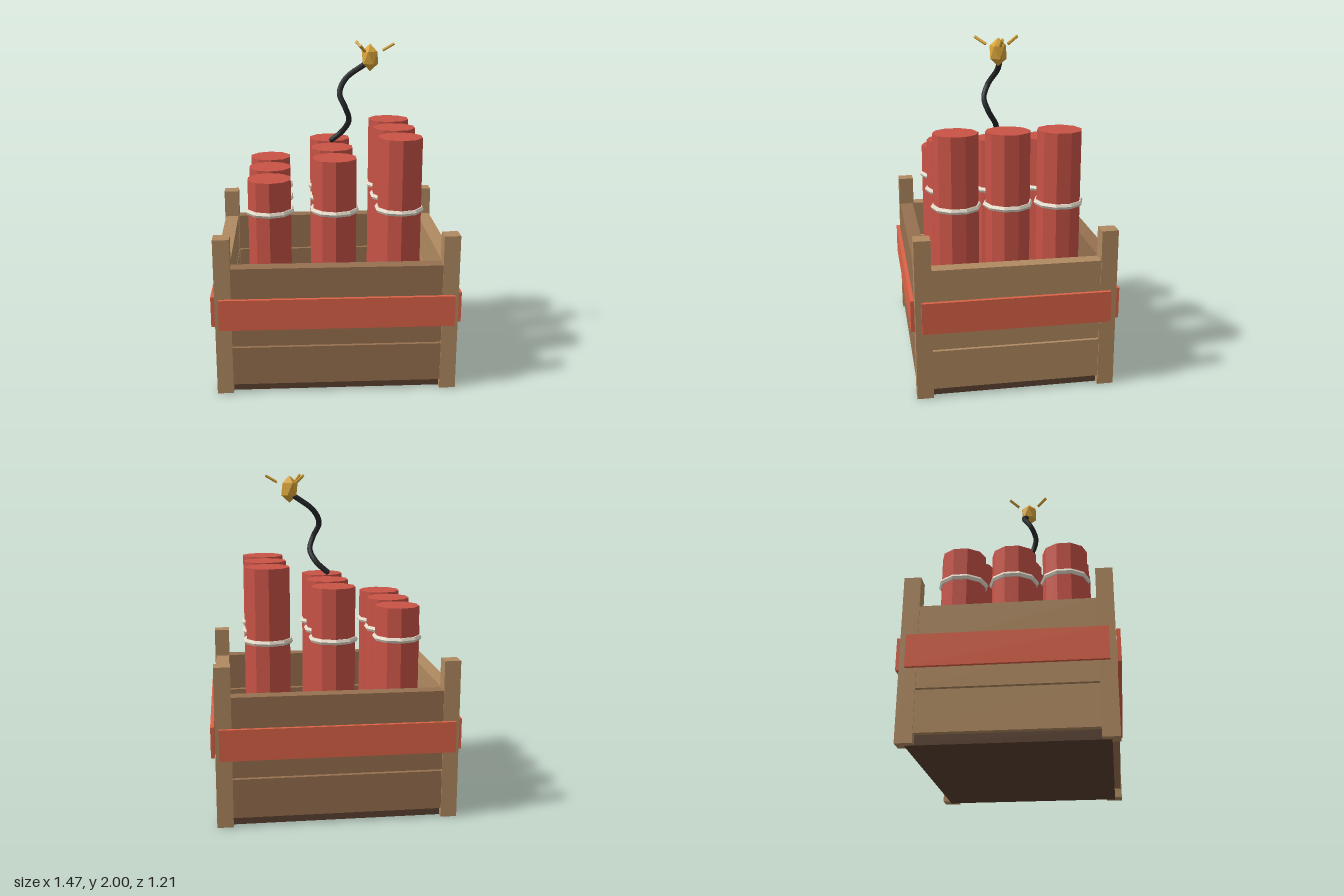
import * as THREE from 'three';

const material = (color) => new THREE.MeshStandardMaterial({ color, flatShading: true });

export function createModel() {
  const model = new THREE.Group();
  const lightWood = material(0xb08a60);
  const midWood = material(0x96704f);
  const darkWood = material(0x5a4030);
  const red = material(0xc95346);
  const paint = material(0xdc6347);
  const cord = material(0xe6dccb);
  const black = new THREE.MeshStandardMaterial({ color: 0x232527 });
  const gold = material(0xdaa53a);

  const add = (name, geometry, mat, x, y, z) => {
    const mesh = new THREE.Mesh(geometry, mat);
    mesh.name = name;
    mesh.position.set(x, y, z);
    model.add(mesh);
    return mesh;
  };
  const box = (name, mat, w, h, d, x, y, z) =>
    add(name, new THREE.BoxGeometry(w, h, d), mat, x, y, z);

  // Crate floor
  box('crateFloor', darkWood, 1.33, 0.055, 1.07, 0, 0.0275, 0);

  // Corner posts, plank walls with narrow gaps, painted bands
  for (const s of [-1, 1]) {
    for (const t of [-1, 1]) {
      box('cornerPost', lightWood, 0.095, 0.953, 0.095, s * 0.66, 0.4785, t * 0.531);
    }
    for (let i = 0; i < 3; i++) {
      const y = 0.173 + i * 0.244;
      box('longPlank', midWood, 1.225, 0.234, 0.084, 0, y, s * 0.532);
      box('sidePlank', lightWood, 0.084, 0.234, 0.968, s * 0.66, y, 0);
    }
    box('longBand', paint, 1.37, 0.185, 0.022, 0, 0.505, s * 0.592);
    box('sideBand', paint, 0.022, 0.185, 1.086, s * 0.722, 0.505, 0);
  }

  // Ten-sided sticks in three rows, taller towards +x, each tied with a cord
  const bottom = 0.42;
  const tie = new THREE.TorusGeometry(0.131, 0.0175, 6, 10);
  tie.rotateX(Math.PI / 2).rotateY(Math.PI / 2);
  for (let col = -1; col <= 1; col++) {
    const height = 1.36 + col * 0.12 - bottom;
    for (let row = -1; row <= 1; row++) {
      const x = col * 0.384, z = row * 0.303;
      add('stick', new THREE.CylinderGeometry(0.132, 0.132, height, 10), red, x, bottom + height / 2, z);
      add('cordTie', tie, cord, x, 1.05, z);
    }
  }

  // Curling fuse
  const path = new THREE.CatmullRomCurve3([
    [0, 1.405, 0], [0.065, 1.465, 0.02], [0.1, 1.54, 0.065], [0.075, 1.62, 0.09],
    [0.043, 1.7, 0.06], [0.085, 1.785, 0.012], [0.2, 1.87, 0.015],
  ].map((p) => new THREE.Vector3(...p)));
  add('fuse', new THREE.TubeGeometry(path, 40, 0.017, 8), black, 0, 0, 0);
  for (const end of [0, 1]) {
    add('fuseEnd', new THREE.SphereGeometry(0.017, 8, 6), black, ...path.getPoint(end).toArray());
  }

  // Faceted spark, stretched upright with a vertex at its top
  const spark = new THREE.IcosahedronGeometry(1, 0);
  spark.rotateZ(Math.atan(2 / (1 + Math.sqrt(5)))).scale(0.056, 0.082, 0.056);
  add('spark', spark, gold, 0.227, 1.91, 0.03);

  // Three rays leaning outwards around the spark
  for (let i = 0; i < 3; i++) {
    const ray = new THREE.CylinderGeometry(0.009, 0.009, 0.08, 6);
    ray.rotateZ(-Math.PI / 3).translate(0.11, 0, 0).rotateY((i * Math.PI * 2) / 3);
    add('sparkRay', ray, gold, 0.227, 1.972, 0.03);
  }
  return model;
}
